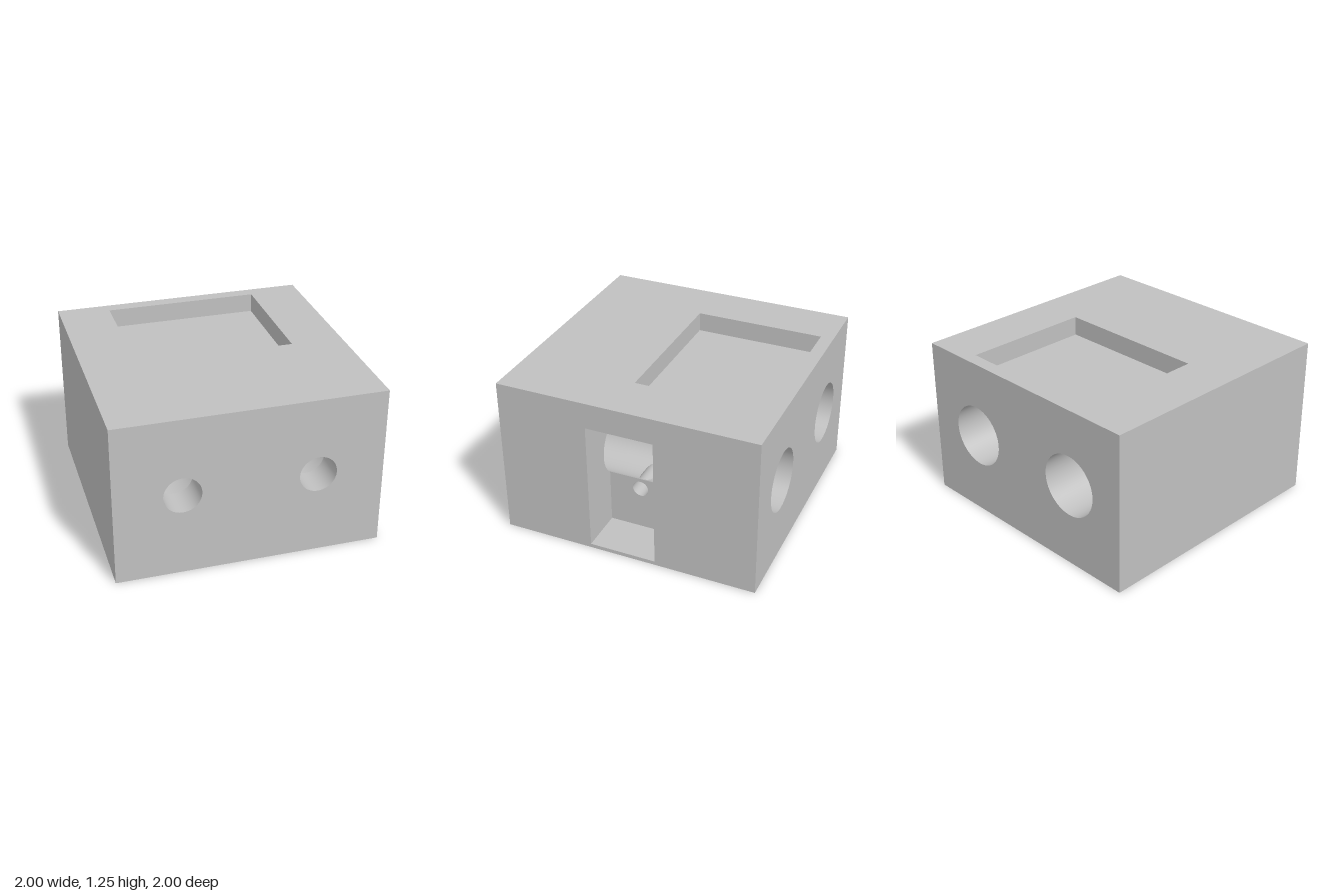
import * as THREE from 'three';

const H = 1.25;                                        // block height, footprint is 2 x 2
const BORE = { x: 0.5, y: 0.65, r: 0.24, mouth: 0.14, step: 0.75 };
const SLOT = { x: 0.65, y0: 0.03, y1: 1.05, z0: -0.22, z1: 0.3 };
const POCKET = { x: 0.6, z0: -0.9, z1: 0.1, y: 1.1 };
const PIN = { z: 0.05, r: 0.0625, end: 0.25, ys: [0.85, 0.375] };

// where the slot's end wall cuts the bore
const cut = Math.acos((SLOT.x - BORE.x) / BORE.r);
const cutY = BORE.r * Math.sin(cut);

function polygon(points) {
  return new THREE.Shape(points.map(([x, y]) => new THREE.Vector2(x, y)));
}
function rect(x0, y0, x1, y1) {
  return polygon([[x0, y0], [x1, y0], [x1, y1], [x0, y1]]);
}
function circle(x, y, r) {
  const path = new THREE.Path();
  path.absarc(x, y, r, 0, Math.PI * 2);
  return path;
}
function panel(shape, holes = []) {
  shape.holes.push(...holes);
  return new THREE.ShapeGeometry(shape, 48);
}
// smooth ruled surface between two edge curves; edges(t) gives one point on each
function ruled(n, edges) {
  const pos = [], index = [];
  for (let i = 0; i <= n; i++) {
    const [p, q] = edges(i / n);
    pos.push(...p, ...q);
    if (i < n) {
      const a = i * 2;
      index.push(a, a + 1, a + 2, a + 1, a + 3, a + 2);
    }
  }
  const geo = new THREE.BufferGeometry();
  geo.setAttribute('position', new THREE.Float32BufferAttribute(pos, 3));
  geo.setIndex(index);
  geo.computeVertexNormals();
  return geo;
}
// open tube along z
function tube(x, r, z0, z1) {
  return new THREE.CylinderGeometry(r, r, z1 - z0, 96, 1, true)
    .rotateX(Math.PI / 2).translate(x, BORE.y, (z0 + z1) / 2);
}

export function createModel() {
  const model = new THREE.Group();
  model.name = 'boredBlock';
  const grey = new THREE.MeshStandardMaterial({ color: 0xc0c0c0, side: THREE.DoubleSide });
  grey.name = 'plain grey';
  const add = (name, geo) => {
    const mesh = new THREE.Mesh(geo, grey);
    mesh.name = name;
    model.add(mesh);
    return mesh;
  };
  const quarter = Math.PI / 2;
  const holes = (r) => [-1, 1].map((s) => circle(s * BORE.x, BORE.y, r));

  // outer faces
  add('frontFace', panel(rect(-1, 0, 1, H), holes(BORE.mouth)).translate(0, 0, 1));
  add('backFace', panel(rect(-1, 0, 1, H), holes(BORE.r)).rotateY(Math.PI).translate(0, 0, -1));
  add('leftFace', panel(rect(-1, 0, 1, H), [rect(-SLOT.z1, SLOT.y0, -SLOT.z0, SLOT.y1)])
    .rotateY(quarter).translate(1, 0, 0));
  add('rightFace', panel(rect(-1, 0, 1, H)).rotateY(-quarter).translate(-1, 0, 0));
  add('bottomFace', panel(rect(-1, -1, 1, 1)).rotateX(quarter));
  add('topFace', panel(rect(-1, -1, 1, 1), [rect(-POCKET.x, -POCKET.z1, POCKET.x, -POCKET.z0)])
    .rotateX(-quarter).translate(0, H, 0));

  // shallow pocket in the top
  add('pocketFloor', panel(rect(-POCKET.x, -POCKET.z1, POCKET.x, -POCKET.z0))
    .rotateX(-quarter).translate(0, POCKET.y, 0));
  add('pocketBackWall', panel(rect(-POCKET.x, POCKET.y, POCKET.x, H)).translate(0, 0, POCKET.z0));
  add('pocketFrontWall', panel(rect(-POCKET.x, POCKET.y, POCKET.x, H))
    .rotateY(Math.PI).translate(0, 0, POCKET.z1));
  for (const s of [-1, 1]) {
    const wall = s > 0 ? rect(POCKET.z0, POCKET.y, POCKET.z1, H) : rect(-POCKET.z1, POCKET.y, -POCKET.z0, H);
    add('pocketSideWall', panel(wall).rotateY(-s * quarter).translate(s * POCKET.x, 0, 0));
  }

  // stepped bores; the one at +x is opened by the slot
  add('rightBore', tube(-BORE.x, BORE.r, -1, BORE.step));
  add('leftBoreBack', tube(BORE.x, BORE.r, -1, SLOT.z0));
  add('leftBoreFront', tube(BORE.x, BORE.r, SLOT.z1, BORE.step));
  for (const s of [-1, 1]) {
    add('boreMouth', tube(s * BORE.x, BORE.mouth, BORE.step, 1));
    add('boreShoulder', new THREE.RingGeometry(BORE.mouth, BORE.r, 96)
      .rotateY(Math.PI).translate(s * BORE.x, BORE.y, BORE.step));
  }

  // groove left by the bore in the slot, parted where the pin holes cross it
  const gap = (y) => Math.max(...PIN.ys.map((c) => Math.sqrt(Math.max(0, PIN.r ** 2 - (y - c) ** 2))));
  for (const s of [-1, 1]) {
    add('boreGroove', ruled(240, (t) => {
      const a = cut + t * (2 * Math.PI - 2 * cut);
      const x = BORE.x + BORE.r * Math.cos(a), y = BORE.y + BORE.r * Math.sin(a);
      const inner = [x, y, PIN.z + s * gap(y)], outer = [x, y, s > 0 ? SLOT.z1 : SLOT.z0];
      return s > 0 ? [inner, outer] : [outer, inner];
    }));
  }

  // slot floor, roof and the two side walls
  for (const y of [SLOT.y0, SLOT.y1]) {
    add(y === SLOT.y0 ? 'slotFloor' : 'slotRoof', panel(rect(SLOT.x, -SLOT.z1, 1, -SLOT.z0))
      .rotateX(-quarter).translate(0, y, 0));
  }
  for (const z of [SLOT.z0, SLOT.z1]) {
    const wall = polygon([[SLOT.x, SLOT.y0], [1, SLOT.y0], [1, SLOT.y1], [SLOT.x, SLOT.y1]]);
    wall.lineTo(SLOT.x, BORE.y + cutY);
    wall.absarc(BORE.x, BORE.y, BORE.r, cut, -cut, true);
    add('slotSideWall', panel(wall).translate(0, 0, z));
  }

  // slot end wall, above and below the groove
  const [upper, lower] = PIN.ys;
  const edge = BORE.y + cutY;
  const dip = Math.asin((edge - upper) / PIN.r);
  const above = polygon([[-SLOT.z0, edge], [-SLOT.z0, SLOT.y1], [-SLOT.z1, SLOT.y1], [-SLOT.z1, edge]]);
  above.absarc(-PIN.z, upper, PIN.r, Math.PI - dip, dip, true);
  add('slotEndUpper', panel(above).rotateY(quarter).translate(SLOT.x, 0, 0));
  add('slotEndLower', panel(rect(-SLOT.z1, SLOT.y0, -SLOT.z0, BORE.y - cutY), [circle(-PIN.z, lower, PIN.r)])
    .rotateY(quarter).translate(SLOT.x, 0, 0));

  // blind pin holes, interrupted by the bore
  for (const cy of PIN.ys) {
    const at = (t) => {
      const a = t * Math.PI * 2;
      const y = cy + PIN.r * Math.sin(a), z = PIN.z + PIN.r * Math.cos(a);
      return { y, z, half: Math.sqrt(Math.max(0, BORE.r ** 2 - (y - BORE.y) ** 2)) };
    };
    add('pinHoleInner', ruled(96, (t) => {
      const { y, z, half } = at(t);
      return [[PIN.end, y, z], [BORE.x - half, y, z]];
    }));
    add('pinHoleOuter', ruled(96, (t) => {
      const { y, z, half } = at(t);
      return [[Math.min(BORE.x + half, SLOT.x), y, z], [SLOT.x, y, z]];
    }));
    add('pinHoleEnd', new THREE.CircleGeometry(PIN.r, 48).rotateY(quarter).translate(PIN.end, cy, PIN.z));
  }
  return model;
}
